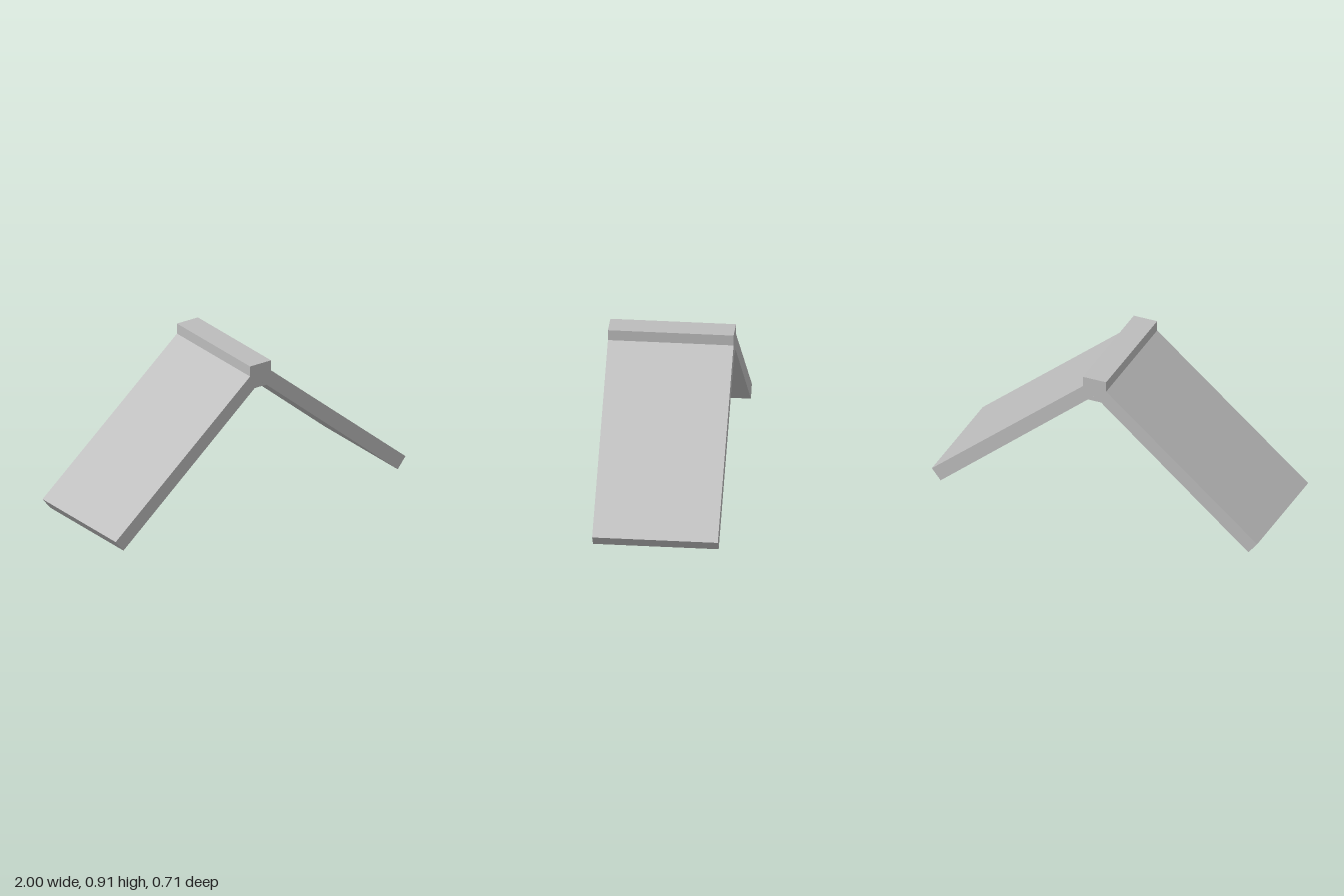
import * as THREE from 'three';

const DEPTH = 0.71;

// Extrude an x/y outline along z, starting at z0
function prism(name, points, z0, depth, material) {
  const shape = new THREE.Shape(points.map(([x, y]) => new THREE.Vector2(x, y)));
  const geometry = new THREE.ExtrudeGeometry(shape, { depth, bevelEnabled: false });
  geometry.translate(0, 0, z0);
  const mesh = new THREE.Mesh(geometry, material);
  mesh.name = name;
  return mesh;
}

export function createModel() {
  const group = new THREE.Group();
  group.name = 'ridgeBracket';
  const grey = new THREE.MeshStandardMaterial({ color: 0xbcbcbc });
  grey.name = 'grey';

  // Two sloping panels joined under a square ridge, mirrored about x = 0
  const half = [[0.946, 0], [1, 0.067], [0.072, 0.845], [0.072, 0.907]];
  const mirrored = half.map(([x, y]) => [-x, y]).reverse();
  const apex = [0, 0.799];
  group.add(prism('panelsAndRidge', [apex, ...mirrored.reverse(), ...half.slice().reverse()], -DEPTH / 2, DEPTH, grey));

  // Small gussets fill the inner corner at the front and back only
  const gusset = [[-0.04, 0.765], [0.04, 0.765], apex];
  const thickness = 0.065;
  group.add(prism('frontGusset', gusset, DEPTH / 2 - thickness, thickness, grey));
  group.add(prism('backGusset', gusset, -DEPTH / 2, thickness, grey));

  return group;
}
